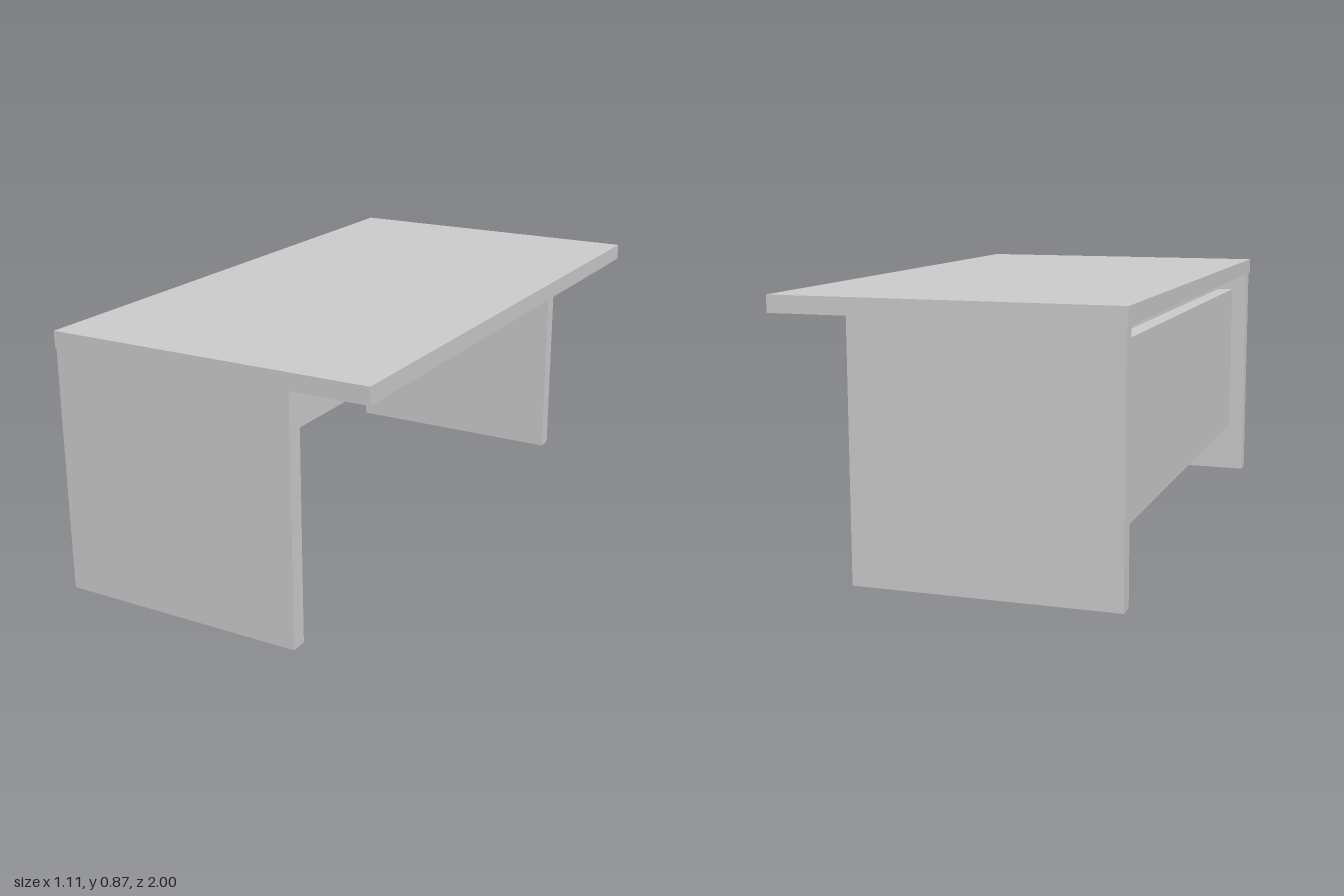
import * as THREE from 'three';

export function createModel() {
  const desk = new THREE.Group();
  desk.name = 'desk';
  const material = new THREE.MeshStandardMaterial({ color: 0xcccccc, flatShading: true });

  // Board spanning the given minimum and maximum corners
  function board(name, min, max) {
    const size = max.map((v, i) => v - min[i]);
    const mesh = new THREE.Mesh(new THREE.BoxGeometry(...size), material);
    mesh.position.set(...max.map((v, i) => (v + min[i]) / 2));
    mesh.name = name;
    desk.add(mesh);
  }

  const thickness = 0.055;
  const legTop = 0.818;
  const inner = 1 - thickness;

  board('tabletop', [-0.555, legTop, -1], [0.555, legTop + thickness, 1]);

  // Slab legs at both ends, set back from the overhanging edge
  board('frontLeg', [-0.55, 0, inner], [0.295, legTop, 1]);
  board('backLeg', [-0.55, 0, -1], [0.295, legTop, -inner]);

  // Modesty panel between the legs
  board('modestyPanel', [-0.493, 0.185, -inner], [-0.493 + thickness, 0.752, inner]);

  return desk;
}
